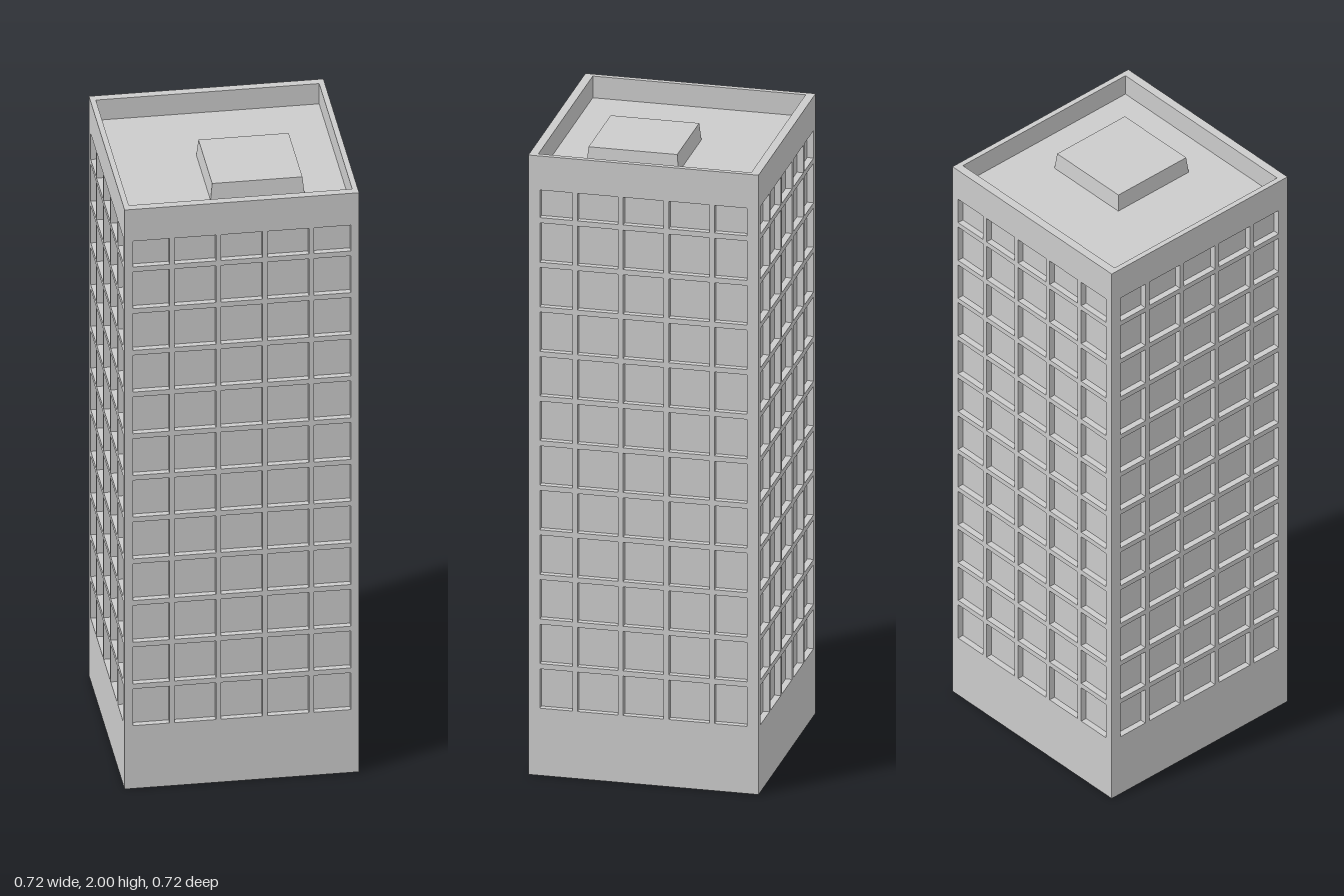
import * as THREE from 'three';
import { mergeGeometries } from 'three/addons/utils/BufferGeometryUtils.js';

const HALF = 0.358, HEIGHT = 2, ROOF_Y = 1.93;

const material = new THREE.MeshStandardMaterial({ color: 0xcccccc, flatShading: true, side: THREE.DoubleSide });

function rect(PathType, x0, y0, x1, y1) {
  return new PathType([[x0, y0], [x1, y0], [x1, y1], [x0, y1]].map(([x, y]) => new THREE.Vector2(x, y)));
}

// Inward-facing box, open towards +z, with its opening at z = 0
function recess(w, h, d) {
  const geo = new THREE.BoxGeometry(w, h, d);
  const faces = Array.from(geo.index.array);
  faces.splice(24, 6);
  geo.setIndex(faces.reverse());
  geo.clearGroups();
  geo.attributes.normal.array.forEach((n, i, a) => { a[i] = -n; });
  return geo.translate(0, 0, -d / 2);
}

// Flat wall with a grid of recessed windows; edge is the outer limit of the end columns
function facadeGeometry(edge, depth) {
  const columns = [[-edge, -0.221], [-0.205, -0.079], [-0.063, 0.063], [0.079, 0.205], [0.221, edge]];
  const wall = rect(THREE.Shape, -HALF, 0, HALF, HEIGHT);
  const parts = [];
  for (let row = 0; row < 12; row++) {
    const y0 = 0.217 + row * 0.144;
    const y1 = Math.min(y0 + 0.127, 1.89);
    for (const [x0, x1] of columns) {
      wall.holes.push(rect(THREE.Path, x0, y0, x1, y1));
      parts.push(recess(x1 - x0, y1 - y0, depth).translate((x0 + x1) / 2, (y0 + y1) / 2, 0));
    }
  }
  return mergeGeometries([new THREE.ShapeGeometry(wall), ...parts]);
}

export function createModel() {
  const building = new THREE.Group();
  building.name = 'towerBlock';
  const add = (name, geo) => {
    const mesh = new THREE.Mesh(geo, material);
    mesh.name = name;
    building.add(mesh);
    return mesh;
  };

  // Four window walls, open underneath
  const mainWall = facadeGeometry(0.333, 0.02);
  const sideWall = facadeGeometry(0.322, 0.02);
  ['frontWall', 'leftWall', 'backWall', 'rightWall'].forEach((name, i) => {
    const angle = i * Math.PI / 2;
    const wall = add(name, i % 2 ? sideWall : mainWall);
    wall.rotation.y = angle;
    wall.position.set(Math.sin(angle) * HALF, 0, Math.cos(angle) * HALF);
  });

  // Parapet top
  const innerX = 0.341, innerZ = 0.331;
  const rim = rect(THREE.Shape, -HALF, -HALF, HALF, HALF);
  rim.holes.push(rect(THREE.Path, -innerX, -innerZ, innerX, innerZ));
  add('parapetRim', new THREE.ShapeGeometry(rim).rotateX(-Math.PI / 2)).position.y = HEIGHT;

  // Sunken roof with the inner parapet faces
  add('roof', recess(2 * innerX, 2 * innerZ, HEIGHT - ROOF_Y).rotateX(-Math.PI / 2)).position.y = HEIGHT;

  // Off-centre roof housing with slightly sloping sides
  const housing = new THREE.BoxGeometry(0.287, 0.055, 0.287);
  const p = housing.attributes.position;
  for (let i = 0; i < p.count; i++) {
    if (p.getY(i) > 0) p.setXYZ(i, p.getX(i) * 0.96, p.getY(i), p.getZ(i) * 0.96);
  }
  housing.computeVertexNormals();
  add('roofHousing', housing).position.set(0.07, ROOF_Y + 0.0275, 0.07);

  return building;
}
